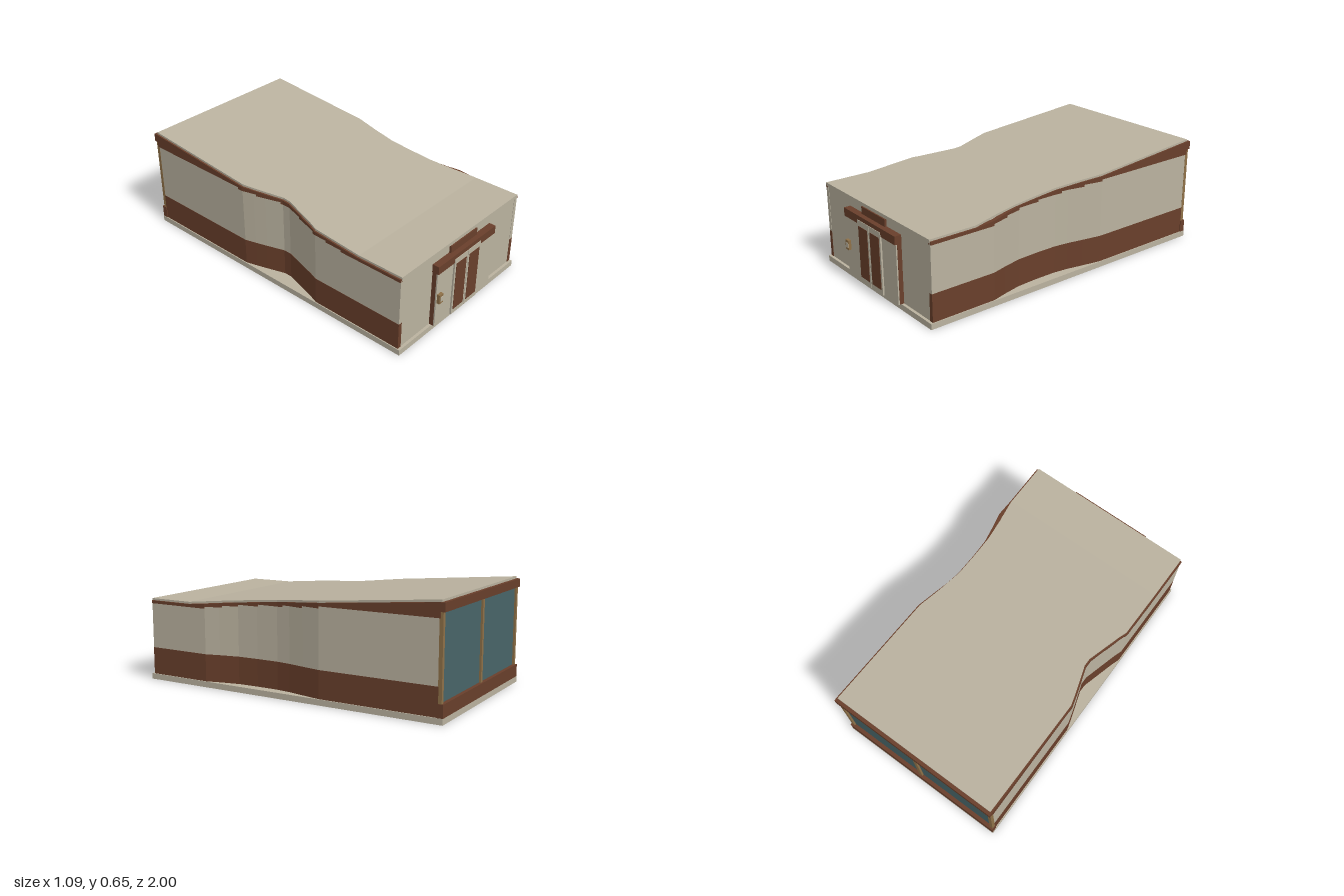
import * as THREE from 'three';

const mat = (name, color) => {
  const m = new THREE.MeshStandardMaterial({ color });
  m.name = name;
  return m;
};

// Loft of rectangles [z, x0, x1, y0, y1], listed from front to back
function loft(stations) {
  const rings = stations.map(([z, x0, x1, y0, y1]) =>
    [[x0, y0, z], [x1, y0, z], [x1, y1, z], [x0, y1, z]]);
  const pos = [];
  const quad = (a, b, c, d) => pos.push(...a, ...b, ...c, ...a, ...c, ...d);
  for (let i = 0; i < rings.length - 1; i++) {
    const f = rings[i], r = rings[i + 1];
    for (let j = 0; j < 4; j++) {
      const k = (j + 1) % 4;
      quad(f[j], r[j], r[k], f[k]);
    }
  }
  const first = rings[0], last = rings[rings.length - 1];
  quad(first[0], first[1], first[2], first[3]);
  quad(last[3], last[2], last[1], last[0]);
  const g = new THREE.BufferGeometry();
  g.setAttribute('position', new THREE.Float32BufferAttribute(pos, 3));
  g.computeVertexNormals();
  return g;
}

// Piecewise linear value at z along [z, value] points running front to back
function along(points, z) {
  if (z >= points[0][0]) return points[0][1];
  for (let i = 1; i < points.length; i++) {
    const [z0, v0] = points[i - 1], [z1, v1] = points[i];
    if (z >= z1) return v0 + (v1 - v0) * (z0 - z) / (z0 - z1);
  }
  return points[points.length - 1][1];
}

export function createModel() {
  const group = new THREE.Group();
  const beige = mat('beige', 0xbab29f);
  const brown = mat('brown', 0x693f2b);
  const teal = mat('teal glass', 0x486568);
  const tan = mat('tan frame', 0x8f7148);

  const add = (name, geometry, material) => {
    const m = new THREE.Mesh(geometry, material);
    m.name = name;
    group.add(m);
  };
  const box = (name, material, x0, x1, y0, y1, z0, z1) => {
    const g = new THREE.BoxGeometry(x1 - x0, y1 - y0, z1 - z0);
    g.translate((x0 + x1) / 2, (y0 + y1) / 2, (z0 + z1) / 2);
    add(name, g, material);
  };

  // Plan curves of the two pinched sides and the roof slope
  const leftWall = [[0.54, 0.54], [0.45, 0.517], [0.33, 0.492], [0.2, 0.486], [0.06, 0.486],
    [-0.03, 0.497], [-0.13, 0.517], [-0.25, 0.54]];
  const leftRoof = [[0.65, 0.535], [0.5, 0.508], [0.36, 0.489], [0.2, 0.484], [0.06, 0.484],
    [-0.1, 0.507], [-0.25, 0.535]];
  const rightWall = [[0.35, 0.54], [0.3, 0.523], [0.21, 0.498], [0.08, 0.462], [0.03, 0.462],
    [-0.08, 0.498], [-0.15, 0.52], [-0.22, 0.54]];
  const rightRoof = rightWall.map(([z, x]) => [z, x - 0.005]);
  const roofTop = (z) => along([[0.66, 0.505], [-0.98, 0.65]], z);
  const cuts = (front, back, ...curves) => [...new Set([front, back, 0.66,
    ...curves.flatMap((c) => c.map((p) => p[0]))])].sort((a, b) => b - a);

  // Base slab
  box('base', beige, -0.547, 0.547, 0, 0.035, -1, 0.96);

  // Roof slab
  add('roof', loft(cuts(0.945, -0.98, leftRoof, rightRoof).map((z) =>
    [z, -along(rightRoof, z), along(leftRoof, z), roofTop(z) - 0.013, roofTop(z)])), beige);

  // Side walls: brown lower band, pale wall, stepped brown trim under the roof
  for (const [side, curve, s] of [['left', leftWall, 1], ['right', rightWall, -1]]) {
    const station = (z, out, y0, y1) => {
      const x = along(curve, z) + out, inner = x - 0.025;
      return [z, s > 0 ? inner : -x, s > 0 ? x : -inner, y0, y1];
    };
    const zs = cuts(0.945, -0.97, curve);
    add(side + 'LowerBand', loft(zs.map((z) => station(z, 0.001, 0.035, 0.2))), brown);
    add(side + 'Wall', loft(zs.map((z) => station(z, 0, 0.2, roofTop(z) - 0.014))), beige);
    const steps = [0.945, 0.54, 0.43, 0.33, 0.19, 0.02, -0.13, -0.25, -0.975];
    for (let i = 0; i < steps.length - 1; i++) {
      const a = steps[i], b = steps[i + 1];
      const low = 0.475 + 0.08 * i / 7;
      const inside = zs.filter((z) => z < a && z > b);
      add(side + 'RoofTrim', loft([a, ...inside, b].map((z) =>
        station(z, 0.005, low, roofTop(z) - 0.012))), brown);
    }
  }

  // Front wall with top fascia
  box('frontWall', beige, -0.535, 0.535, 0.035, 0.49, 0.92, 0.943);
  box('frontFascia', beige, -0.535, 0.535, 0.484, 0.505, 0.92, 0.948);

  // Entrance: side panels, brown backing, canopy and header
  for (const s of [-1, 1]) {
    const [a, b] = s < 0 ? [-0.263, -0.12] : [0.12, 0.263];
    box('entrancePanel', beige, a, b, 0.035, 0.39, 0.97, 0.978);
  }
  box('entranceBacking', brown, -0.264, 0.264, 0.035, 0.4, 0.943, 0.97);
  box('entranceCanopy', brown, -0.267, 0.265, 0.39, 0.44, 0.943, 0.985);
  box('entranceHeader', brown, -0.12, 0.122, 0.44, 0.484, 0.943, 0.956);

  // Double doors with brown panes
  for (const s of [-1, 1]) {
    const span = (a, b) => (s < 0 ? [-b, -a] : [a, b]);
    box('door', beige, ...span(0.002, 0.121), 0.038, 0.414, 0.97, 0.988);
    box('doorPane', brown, ...span(0.014, 0.108), 0.068, 0.38, 0.986, 0.99);
  }

  // Entry keypad
  box('keypad', tan, -0.256, -0.223, 0.192, 0.251, 0.978, 0.996);
  box('keypadScreen', beige, -0.248, -0.225, 0.206, 0.236, 0.994, 0.999);

  // Back: brown sill and lintel, tan posts, two large windows
  box('backSill', brown, -0.545, 0.545, 0.035, 0.11, -1, -0.965);
  box('backLintel', brown, -0.545, 0.545, 0.587, 0.637, -1, -0.965);
  for (const x of [-0.53, 0, 0.53]) {
    box('windowPost', tan, x - 0.011, x + 0.011, 0.11, 0.587, -0.99, -0.968);
  }
  for (const [a, b] of [[-0.52, -0.011], [0.011, 0.52]]) {
    box('backWindow', teal, a, b, 0.11, 0.587, -0.978, -0.97);
  }
  return group;
}
